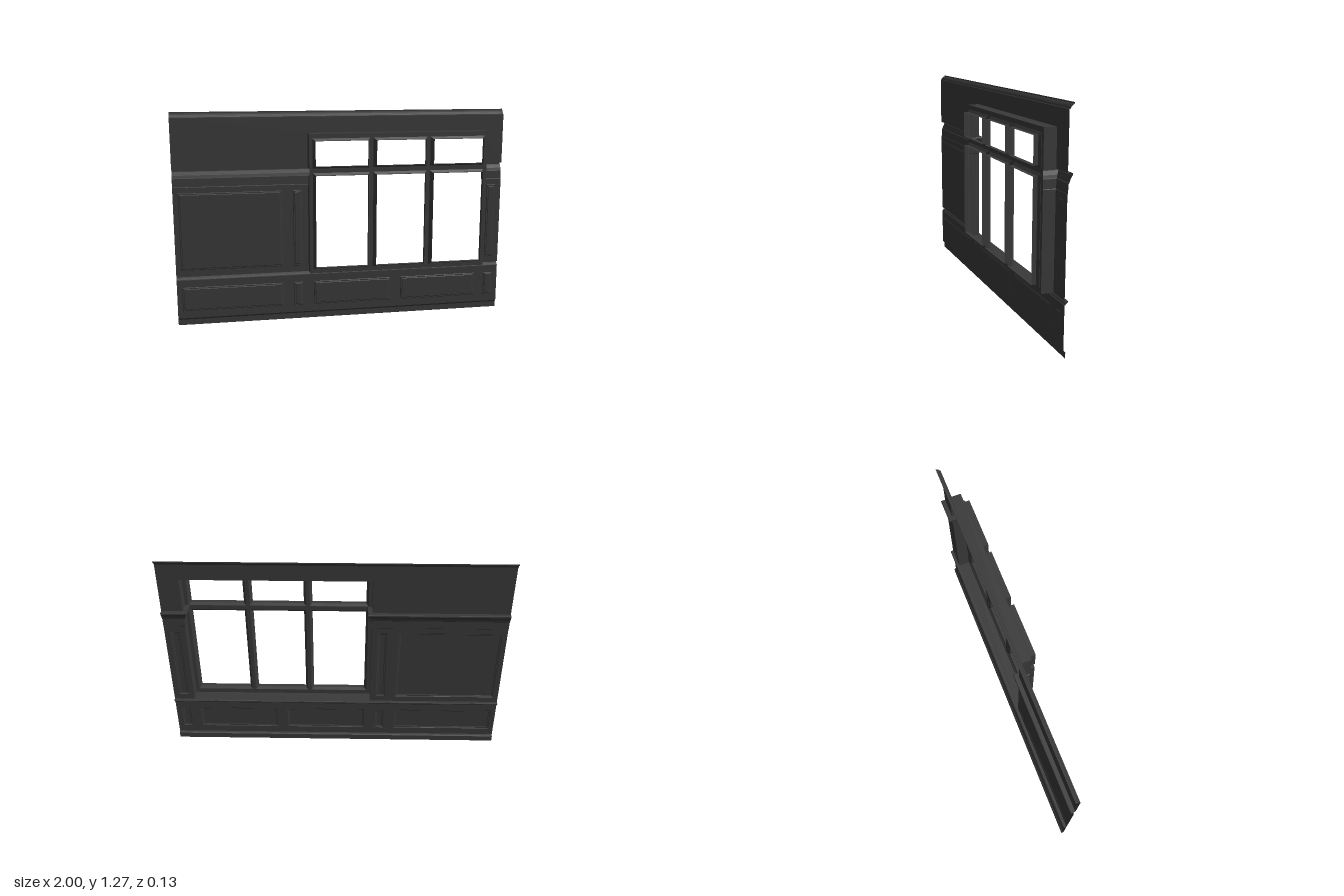
import * as THREE from 'three';

const material = new THREE.MeshStandardMaterial({ color: 0x3a3a3a, side: THREE.DoubleSide });

const WALL = -0.04, FRAME = 0.029, OUTER = 0.067;      // depths of wall, window plane, outer edge
const X0 = -0.212, X1 = 0.876, SILL = 0.305, HEAD = 1.14; // window bay
const RAIL0 = 0.835, RAIL1 = 0.937, CROWN = 1.235;

// Flat-shaded sheet through rows of [x, y, z] points
function sheet(rows, closed = false) {
  const pos = [];
  for (let i = 0; i + 1 < rows.length; i++) {
    const a = rows[i], b = rows[i + 1], n = a.length;
    for (let j = 0; j < (closed ? n : n - 1); j++) {
      const k = (j + 1) % n;
      pos.push(...a[j], ...b[j], ...b[k], ...a[j], ...b[k], ...a[k]);
    }
  }
  const g = new THREE.BufferGeometry();
  g.setAttribute('position', new THREE.Float32BufferAttribute(pos, 3));
  g.computeVertexNormals();
  return g;
}

// Stepped ring round a rectangle; levels are [inset, z]
function ring([x0, x1, y0, y1], levels) {
  return sheet(levels.map(([d, z]) => [
    [x0 + d, y0 + d, z], [x1 - d, y0 + d, z], [x1 - d, y1 - d, z], [x0 + d, y1 - d, z],
  ]), true);
}

// Moulding: profile of [y, projection] along a plan path of [x, z, offsetX, offsetZ]
function moulding(profile, path) {
  return sheet(profile.map(([y, d]) => path.map(([x, z, ox, oz]) => [x + ox * d, y, z + oz * d])));
}

function outline(points) {
  return new THREE.Shape(points.map(([x, y]) => new THREE.Vector2(x, y)));
}
const corners = ([x0, x1, y0, y1]) => [[x0, y0], [x1, y0], [x1, y1], [x0, y1]];

// Flat sheet with rectangular holes at depth z
function flat(points, holes, z) {
  const shape = outline(points);
  for (const h of holes) shape.holes.push(outline(corners(h).reverse()));
  return new THREE.ShapeGeometry(shape).translate(0, 0, z);
}

export function createModel() {
  const model = new THREE.Group();
  const add = (name, geometry, parent = model) => {
    const mesh = new THREE.Mesh(geometry, material);
    mesh.name = name;
    parent.add(mesh);
  };

  // Wall panelling
  const wide = [-0.97, -0.37], narrow = [-0.302, -0.25], end = [0.91, 0.965];
  const lower = [wide, narrow, [-0.18, 0.3], [0.365, 0.845], end].map((p) => [...p, 0.09, 0.235]);
  const upperLeft = [wide, narrow].map((p) => [...p, 0.34, 0.802]);
  const upperRight = [[...end, 0.34, 0.802]];
  add('lowerWall', flat(corners([-1, 1, 0.045, 0.28]), lower, WALL));
  add('upperWallRight', flat(corners([-1, X0, SILL, RAIL0]), upperLeft, WALL));
  add('upperWallLeft', flat(corners([X1, 1, SILL, RAIL0]), upperRight, WALL));

  const panels = new THREE.Group();
  panels.name = 'recessedPanels';
  model.add(panels);
  for (const p of [...lower, ...upperLeft, ...upperRight]) {
    add('panelBorder', ring(p, [[0, WALL], [0.003, -0.037], [0.009, -0.037], [0.012, -0.035]]), panels);
    const [x0, x1, y0, y1] = p, d = 0.012;
    add('panelField', flat(corners([x0 + d, x1 - d, y0 + d, y1 - d]), [], -0.035), panels);
  }

  // Plain wall above the rail, notched for the window
  add('topWall', flat([[-1, RAIL1], [X0, RAIL1], [X0, HEAD], [X1, HEAD], [X1, RAIL1],
    [1, RAIL1], [1, CROWN], [-1, CROWN]], [], WALL));

  // Full-length mouldings
  const straight = [[-1, WALL, 0, -1], [1, WALL, 0, -1]];
  add('baseboard', moulding([[0, 0.011], [0.034, 0.011], [0.038, 0.005], [0.045, 0]], straight));
  add('chairRail', moulding([[0.28, 0], [0.283, 0.005], [0.289, 0.008], [0.294, 0.015],
    [0.296, 0.018], [0.303, 0.018], [SILL, 0.016], [SILL, 0]], straight));
  add('crown', moulding([[CROWN, 0], [1.238, 0.005], [1.245, 0.008], [1.252, 0.014],
    [1.258, 0.022], [1.26, 0.027], [1.267, 0.027]], straight));

  // Upper rail, mitred round the corners into the window bay
  const railProfile = [[RAIL0, 0], [0.838, 0.003], [0.886, 0.004], [0.89, 0.009], [0.904, 0.013],
    [0.916, 0.019], [0.924, 0.023], [0.926, 0.026], [0.934, 0.026], [RAIL1, 0.024], [RAIL1, 0]];
  add('upperRailRight', moulding(railProfile,
    [[-1, WALL, 0, -1], [X0, WALL, 1, -1], [X0, FRAME, 1, 0]]));
  add('upperRailLeft', moulding(railProfile,
    [[X1, FRAME, -1, 0], [X1, WALL, -1, -1], [1, WALL, 0, -1]]));

  // Window bay lining: jambs, sill and head
  for (const x of [X0, X1]) {
    for (const [y0, y1] of [[SILL, RAIL0], [RAIL1, HEAD]]) {
      add('jamb', sheet([[[x, y0, WALL], [x, y0, FRAME]], [[x, y1, WALL], [x, y1, FRAME]]]));
    }
  }
  for (const [name, y] of [['sill', SILL], ['head', HEAD]]) {
    add(name, sheet([[[X0, y, WALL], [X1, y, WALL]], [[X0, y, FRAME], [X1, y, FRAME]]]));
  }

  // Window frame with six chamfered lights
  const lights = [];
  for (const [x0, x1] of [[-0.192, 0.149], [0.171, 0.497], [0.519, 0.855]]) {
    for (const [y0, y1] of [[0.332, 0.911], [0.938, 1.113]]) lights.push([x0, x1, y0, y1]);
  }
  const frame = new THREE.Group();
  frame.name = 'windowFrame';
  model.add(frame);
  add('frameFace', flat(corners([X0, X1, SILL, HEAD]), lights, FRAME), frame);
  for (const l of lights) {
    add('lightSurround', ring(l, [[0, FRAME], [0, 0.031], [0.013, 0.042], [0.013, OUTER]]), frame);
  }
  return model;
}
